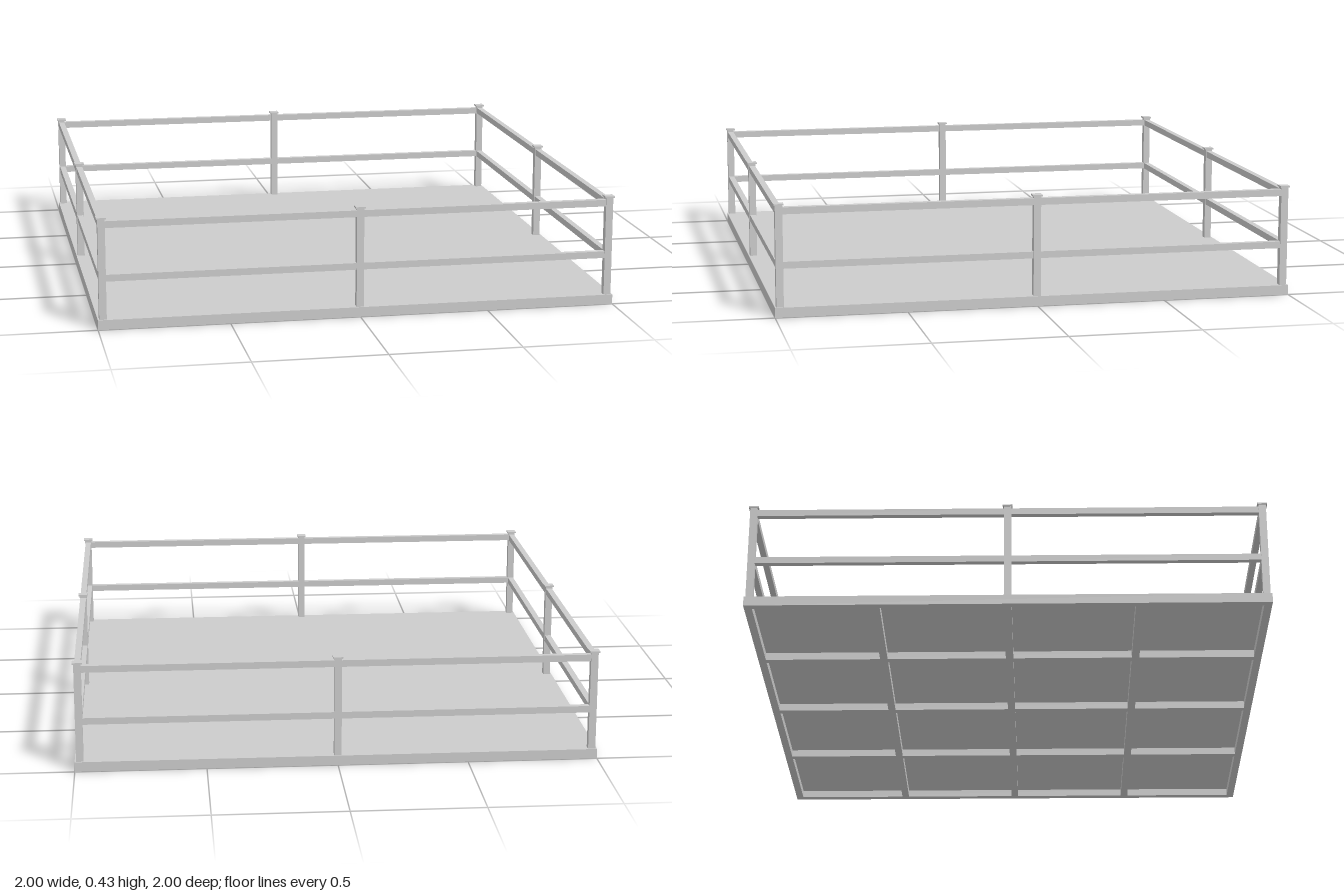
import * as THREE from 'three';

const material = new THREE.MeshStandardMaterial({ color: 0xcccccc });

function box(parent, name, w, h, d, x, y, z) {
  const mesh = new THREE.Mesh(new THREE.BoxGeometry(w, h, d), material);
  mesh.name = name;
  mesh.position.set(x, y, z);
  parent.add(mesh);
}

export function createModel() {
  const model = new THREE.Group();
  model.name = 'railedPlatform';
  const edge = 0.98; // centre line of posts and rails

  // Thin deck plate carried by the frame
  box(model, 'deck', 1.99, 0.008, 1.99, 0, 0.034, 0);

  // Perimeter beams
  for (const s of [-1, 1]) {
    box(model, 'sideBeam', 0.03, 0.038, 2, s * 0.985, 0.019, 0);
    box(model, 'endBeam', 1.94, 0.038, 0.03, 0, 0.019, s * 0.985);
  }

  // Grid of joists under the deck
  for (const p of [-0.5, 0, 0.5]) {
    box(model, 'longJoist', 0.03, 0.03, 1.94, p, 0.015, 0);
    for (const c of [-0.7275, -0.25, 0.25, 0.7275]) {
      const length = Math.abs(c) > 0.5 ? 0.485 : 0.47;
      box(model, 'crossJoist', length, 0.03, 0.03, c, 0.015, p);
    }
  }

  // Posts with flat caps at the corners and the middle of each side
  for (const x of [-edge, 0, edge]) {
    for (const z of [-edge, 0, edge]) {
      if (x === 0 && z === 0) continue;
      box(model, 'post', 0.028, 0.39, 0.028, x, 0.228, z);
      box(model, 'postCap', 0.038, 0.006, 0.038, x, 0.426, z);
    }
  }

  // Middle and top rails, spanning between the posts
  for (const [name, y] of [['middleRail', 0.197], ['topRail', 0.402]]) {
    for (const s of [-1, 1]) {
      for (const half of [-0.49, 0.49]) {
        box(model, name, 0.952, 0.026, 0.024, half, y, s * edge);
        box(model, name, 0.024, 0.026, 0.952, s * edge, y, half);
      }
    }
  }
  return model;
}
